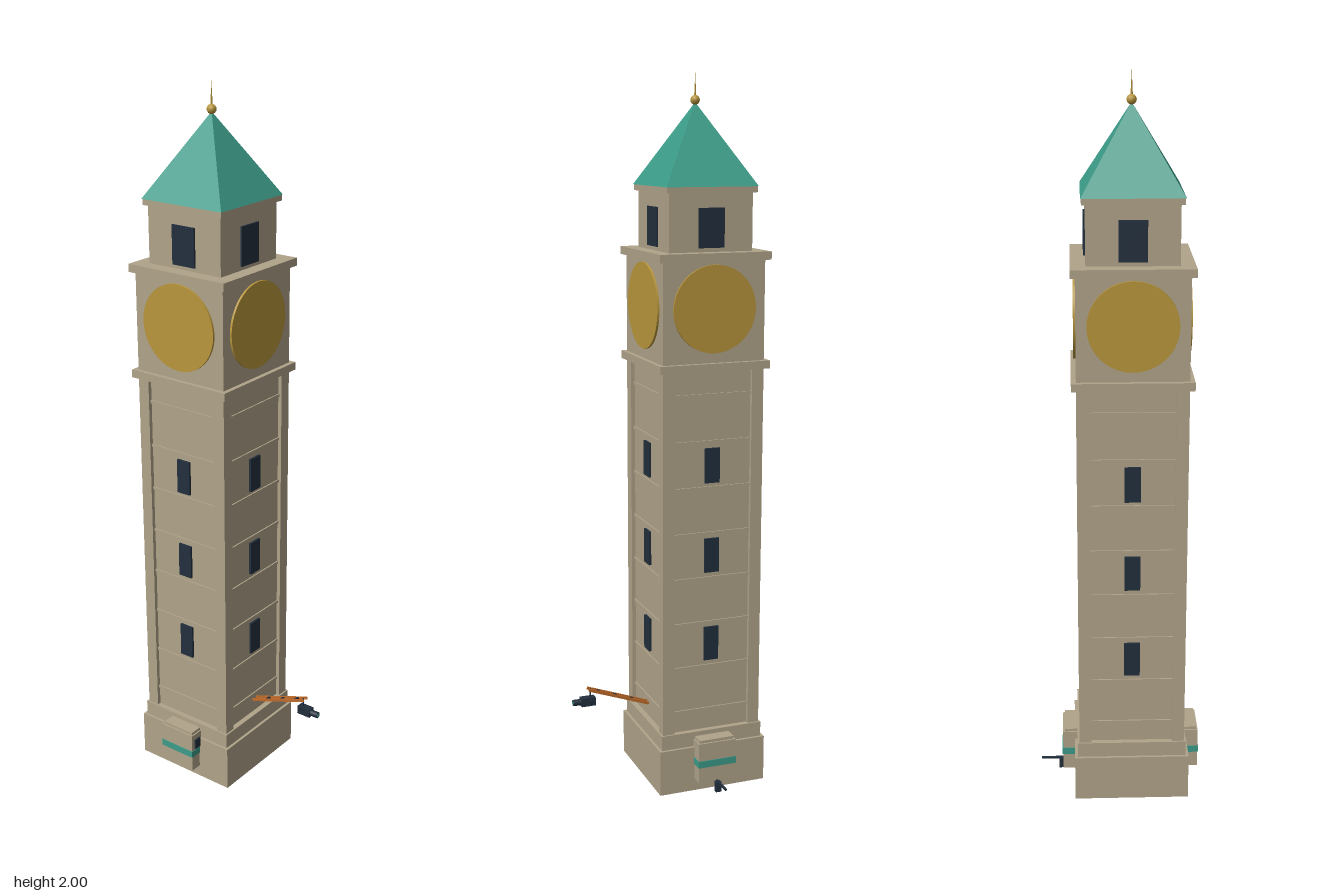
import * as THREE from 'three';

const mat = (name, color) => {
  const m = new THREE.MeshStandardMaterial({ color });
  m.name = name;
  return m;
};

export function createModel() {
  const stone = mat('stone', 0xb0a389);
  const copper = mat('copperGreen', 0x3c9c89);
  const gold = mat('gold', 0xb8963c);
  const dark = mat('darkNavy', 0x222f3d);
  const orange = mat('orange', 0xc06c2a);

  const root = new THREE.Group();
  root.name = 'clockTower';
  // Everything is placed about the tower axis
  const tower = new THREE.Group();
  tower.name = 'tower';
  tower.position.set(-0.033, 0, -0.106);
  root.add(tower);

  const add = (name, geo, material, x = 0, y = 0, z = 0, parent = tower) => {
    const m = new THREE.Mesh(geo, material);
    m.name = name;
    m.position.set(x, y, z);
    parent.add(m);
    return m;
  };
  const box = (name, w, h, d, material, x, y, z, parent) =>
    add(name, new THREE.BoxGeometry(w, h, d), material, x, y, z, parent);
  // Square storey given by half width and its bottom and top
  const storey = (name, half, y0, y1) =>
    box(name, half * 2, y1 - y0, half * 2, stone, 0, (y0 + y1) / 2, 0);

  // Masonry stack
  storey('base', 0.16, 0, 0.132);
  storey('plinth', 0.152, 0.132, 0.175);
  storey('shaft', 0.136, 0.175, 1.21);
  storey('lowerCornice', 0.16, 1.212, 1.234);
  storey('clockStorey', 0.147, 1.234, 1.508);
  storey('upperCornice', 0.16, 1.508, 1.53);
  storey('belfry', 0.12, 1.53, 1.686);
  storey('eaves', 0.13, 1.686, 1.702);

  // Corner pilasters
  for (const sx of [-1, 1])
    for (const sz of [-1, 1])
      box('pilaster', 0.034, 1.037, 0.034, stone, sx * 0.13, 0.6935, sz * 0.13);

  // Stone courses around the shaft
  for (let i = 0; i < 8; i++) {
    const y = 0.235 + i * 0.13;
    storey('stoneCourse', 0.14, y - 0.004, y + 0.004);
  }

  // Clock faces and windows, the same on all four sides
  for (let i = 0; i < 4; i++) {
    const side = new THREE.Group();
    side.name = 'towerSide';
    side.rotation.y = (i * Math.PI) / 2;
    tower.add(side);
    const dial = new THREE.CylinderGeometry(0.119, 0.119, 0.008, 40).rotateX(Math.PI / 2);
    add('clockFace', dial, gold, 0, 1.38, 0.149, side);
    box('belfryWindow', 0.074, 0.106, 0.008, dark, 0, 1.594, 0.121, side);
    for (const y of [0.432, 0.691, 0.948])
      box('shaftWindow', 0.043, 0.098, 0.009, dark, 0, y, 0.138, side);
  }

  // Pyramid roof and finial
  const roof = new THREE.ConeGeometry(0.132 * Math.SQRT2, 0.22, 4).toNonIndexed();
  roof.rotateY(Math.PI / 4);
  roof.computeVertexNormals();
  add('roof', roof, copper, 0, 1.812, 0);
  add('finialBall', new THREE.SphereGeometry(0.013, 12, 8), gold, 0, 1.928, 0);
  add('finialSpike', new THREE.ConeGeometry(0.004, 0.08, 8), gold, 0, 1.96, 0);

  // Side cabinets with a green band
  for (const s of [-1, 1]) {
    const cabinet = new THREE.Group();
    cabinet.name = s > 0 ? 'leftCabinet' : 'rightCabinet';
    cabinet.position.x = s * 0.172;
    tower.add(cabinet);
    box('cabinetBody', 0.044, 0.118, 0.112, stone, 0, 0.095, 0, cabinet);
    box('cabinetLid', 0.038, 0.008, 0.104, stone, -s * 0.002, 0.158, 0, cabinet);
    box('cabinetBand', 0.048, 0.02, 0.115, copper, 0, 0.092, 0, cabinet);
  }
  box('cabinetVent', 0.022, 0.03, 0.008, dark, -0.172, 0.122, 0.057);

  // Lever under the left cabinet
  box('leverMount', 0.014, 0.03, 0.016, dark, 0.2, 0.021, 0);
  box('leverBar', 0.118, 0.005, 0.006, dark, 0.199, 0.036, 0);

  // Front boom: two rails with rungs, sloping up and outward
  const boom = new THREE.Group();
  boom.name = 'boom';
  boom.position.set(0, 0.252, 0.231);
  boom.rotation.x = -Math.atan2(0.066, 0.18);
  tower.add(boom);
  for (const s of [-1, 1])
    box('boomRail', 0.004, 0.008, 0.194, orange, s * 0.0085, 0, 0, boom);
  for (const z of [-0.044, 0.01, 0.064])
    box('boomRung', 0.016, 0.007, 0.008, dark, 0, 0, z, boom);

  // Device hung from the boom tip
  const device = new THREE.Group();
  device.name = 'hangingDevice';
  device.position.set(0, 0.249, 0.323);
  tower.add(device);
  box('deviceBody', 0.022, 0.024, 0.042, dark, 0, 0, 0, device);
  const barrel = new THREE.CylinderGeometry(0.009, 0.009, 0.024, 16).rotateX(Math.PI / 2);
  add('deviceBarrel', barrel, dark, 0, 0, 0.032, device);
  const lens = new THREE.CylinderGeometry(0.005, 0.005, 0.002, 16).rotateX(Math.PI / 2);
  add('deviceLens', lens, copper, 0, 0, 0.044, device);
  box('hanger', 0.003, 0.03, 0.003, dark, 0, 0.022, -0.008, device);
  box('sidePin', 0.03, 0.003, 0.003, dark, -0.006, 0.006, -0.012, device);
  box('sideKnob', 0.006, 0.012, 0.014, dark, 0.013, 0, -0.006, device);

  return root;
}
